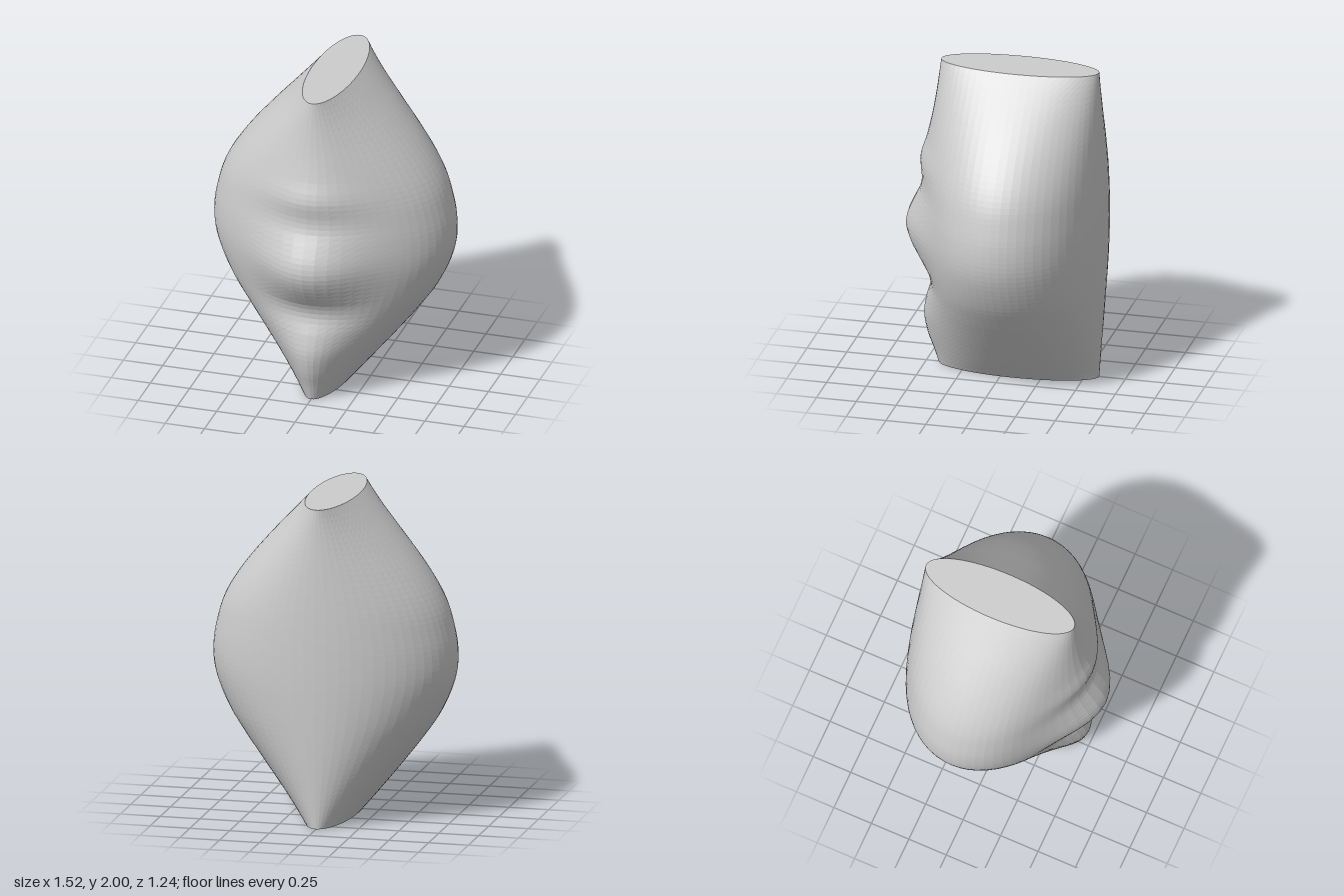
import * as THREE from 'three';

const RINGS = 60, SIDES = 64, CENTRE_Z = -0.09;

// [height, half width]
const WIDTH = [[0, 0.146], [0.1, 0.232], [0.2, 0.315], [0.3, 0.397], [0.4, 0.476], [0.5, 0.552], [0.64, 0.647], [0.8, 0.722],
  [0.93, 0.755], [1.07, 0.755], [1.2, 0.73], [1.32, 0.693], [1.44, 0.63], [1.58, 0.53], [1.73, 0.402], [1.87, 0.272], [2, 0.15]];
// [height, z of the front ridge]
const FRONT = [[0, 0.42], [0.1, 0.452], [0.2, 0.488], [0.33, 0.51], [0.45, 0.492], [0.57, 0.458], [0.65, 0.475],
  [0.72, 0.525], [0.8, 0.578], [0.87, 0.61], [0.93, 0.62], [1, 0.607], [1.1, 0.562], [1.18, 0.525], [1.25, 0.515],
  [1.36, 0.528], [1.42, 0.517], [1.5, 0.49], [1.65, 0.455], [1.8, 0.43], [2, 0.405]];

// Smooth cubic interpolation through a profile
function sample(points, y) {
  let i = 0;
  while (i < points.length - 2 && y > points[i + 1][0]) i++;
  const slope = (k) => {
    const a = points[Math.max(k - 1, 0)], b = points[Math.min(k + 1, points.length - 1)];
    return (b[1] - a[1]) / (b[0] - a[0]);
  };
  const [y0, v0] = points[i], [y1, v1] = points[i + 1];
  const h = y1 - y0, t = (y - y0) / h, t2 = t * t, t3 = t2 * t;
  return (2 * t3 - 3 * t2 + 1) * v0 + (t3 - 2 * t2 + t) * h * slope(i)
    + (3 * t2 - 2 * t3) * v1 + (t3 - t2) * h * slope(i + 1);
}

// Elliptical section with a relief that fades away from the front centre line
function sectionPoint(y, angle) {
  const depth = 0.495 + 0.035 * Math.sin(Math.PI * y / 2);
  const relief = sample(FRONT, y) - CENTRE_Z - depth;
  const c = Math.cos(angle);
  const fade = c > 0 ? Math.pow(c, 9.5) : 0;
  return [sample(WIDTH, y) * Math.sin(angle), y, CENTRE_Z + depth * c + relief * fade];
}

function bodyGeometry() {
  const positions = [], index = [];
  for (let r = 0; r <= RINGS; r++) {
    for (let s = 0; s < SIDES; s++) positions.push(...sectionPoint(2 * r / RINGS, 2 * Math.PI * s / SIDES));
  }
  for (let r = 0; r < RINGS; r++) {
    for (let s = 0; s < SIDES; s++) {
      const a = r * SIDES + s, b = r * SIDES + (s + 1) % SIDES;
      index.push(a, b, b + SIDES, a, b + SIDES, a + SIDES);
    }
  }
  return build(positions, index);
}

// Flat end closing the loft at the given height
function capGeometry(y, up) {
  const positions = [0, y, CENTRE_Z], index = [];
  for (let s = 0; s < SIDES; s++) {
    positions.push(...sectionPoint(y, 2 * Math.PI * s / SIDES));
    const a = s + 1, b = (s + 1) % SIDES + 1;
    index.push(0, up ? a : b, up ? b : a);
  }
  return build(positions, index);
}

function build(positions, index) {
  const geometry = new THREE.BufferGeometry();
  geometry.setAttribute('position', new THREE.Float32BufferAttribute(positions, 3));
  geometry.setIndex(index);
  const flat = geometry.toNonIndexed();
  flat.computeVertexNormals();
  return flat;
}

export function createModel() {
  const group = new THREE.Group();
  group.name = 'sculptedForm';
  const grey = new THREE.MeshStandardMaterial({ color: 0xcccccc, flatShading: true });
  grey.name = 'grey';
  const add = (name, geometry) => {
    const mesh = new THREE.Mesh(geometry, grey);
    mesh.name = name;
    group.add(mesh);
  };
  add('body', bodyGeometry());
  add('topCap', capGeometry(2, true));
  add('bottomCap', capGeometry(0, false));
  return group;
}
